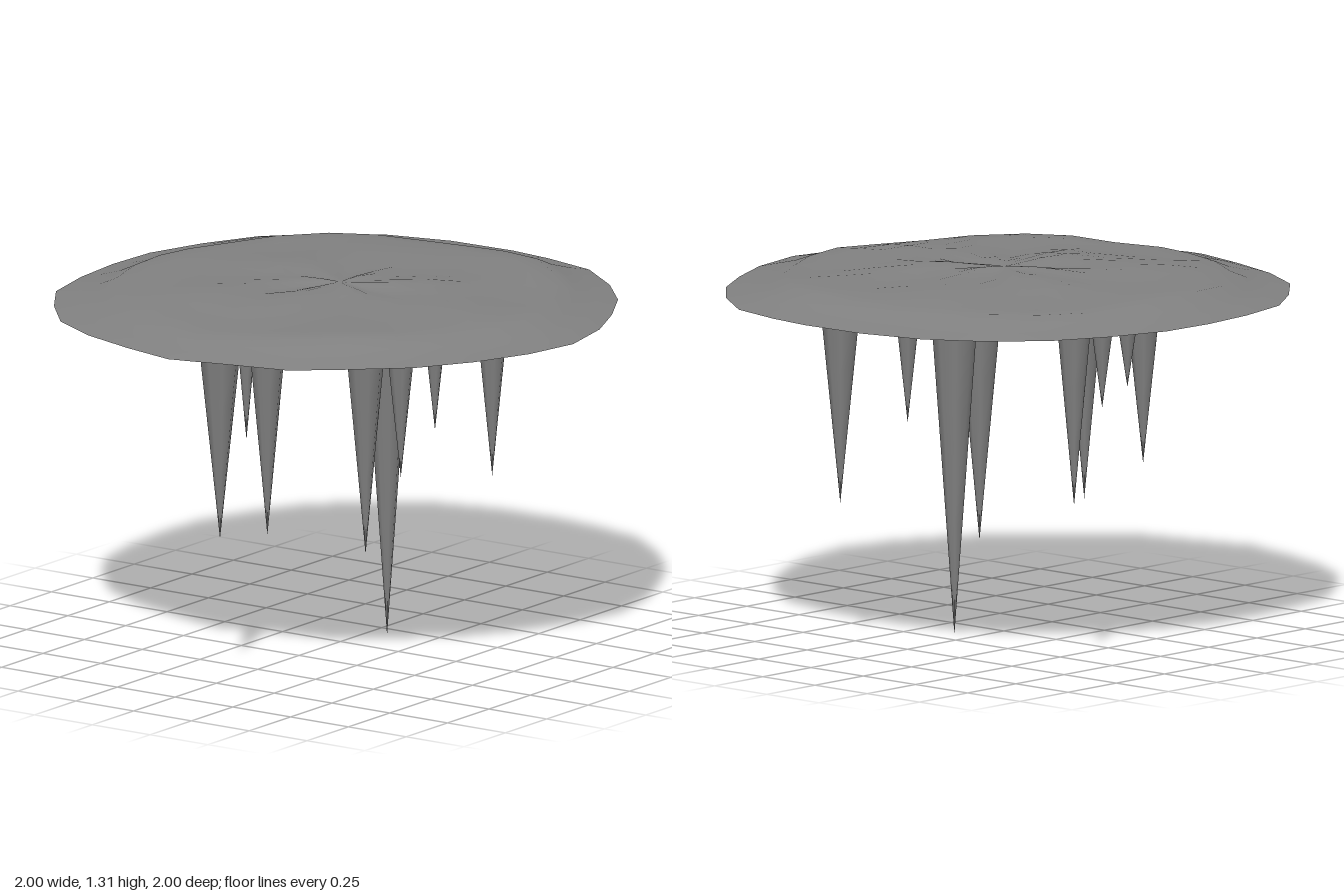
import * as THREE from 'three';
import { mergeVertices } from 'three/addons/utils/BufferGeometryUtils.js';

// Irregular outline of the sheet as x, z pairs, clockwise seen from above
const RIM = [
  [-1, -0.03], [-0.95, -0.24], [-0.88, -0.46], [-0.77, -0.66], [-0.6, -0.81], [-0.42, -0.93],
  [-0.2, -0.98], [0.02, -1], [0.23, -0.99], [0.45, -0.92], [0.65, -0.82], [0.82, -0.65],
  [0.93, -0.47], [0.99, -0.23], [1, 0.03], [0.98, 0.2], [0.93, 0.41], [0.79, 0.6],
  [0.63, 0.75], [0.44, 0.86], [0.24, 0.95], [0.01, 1], [-0.2, 0.96], [-0.41, 0.87],
  [-0.6, 0.75], [-0.76, 0.57], [-0.89, 0.41], [-0.94, 0.2],
];

// Sheet surface: rings shrink from the rim to the centre, each [scale, height]
function sheet(rings, ripple, faceUp) {
  const pos = [], index = [], n = RIM.length;
  for (const [k, y] of rings) {
    for (const [x, z] of RIM) {
      pos.push(x * k, y + ripple(k, Math.atan2(z, x)), z * k);
    }
  }
  for (let i = 0; i < rings.length - 1; i++) {
    for (let j = 0; j < n; j++) {
      const a = i * n + j, b = i * n + (j + 1) % n, c = a + n, d = b + n;
      if (faceUp) index.push(a, c, b, b, c, d);
      else index.push(a, b, c, b, d, c);
    }
  }
  let geo = new THREE.BufferGeometry();
  geo.setAttribute('position', new THREE.Float32BufferAttribute(pos, 3));
  geo.setIndex(index);
  geo = mergeVertices(geo, 1e-4);
  geo.computeVertexNormals();
  return geo;
}

// Icicles: x, z, radius, top height, tip height
const ICICLES = [
  [0.17, 0.08, 0.087, 1.21, 0],
  [0.04, 0.08, 0.082, 1.2, 0.32],
  [-0.33, -0.08, 0.075, 1.24, 0.44],
  [-0.7, -0.02, 0.078, 1.24, 0.51],
  [0.61, 0.22, 0.073, 1.24, 0.51],
  [0.34, -0.65, 0.062, 1.24, 0.57],
  [-0.32, 0.49, 0.055, 1.24, 0.73],
  [0.25, 0.23, 0.053, 1.23, 0.75],
  [0.27, -0.72, 0.043, 1.24, 0.92],
  [0.15, -0.73, 0.04, 1.24, 0.98],
];

export function createModel() {
  const group = new THREE.Group();
  const material = new THREE.MeshStandardMaterial({ color: 0x808080 });
  const add = (name, geo) => {
    const mesh = new THREE.Mesh(geo, material);
    mesh.name = name;
    group.add(mesh);
    return mesh;
  };

  // Rippled top with a step near the rim and spiral folds running to the centre
  const folds = (k, a) => {
    const fade = Math.min(1, k * 8) * Math.min(1, (1 - k) * 5);
    return fade * (0.006 * Math.sin(6 * a + 7 * k) + 0.005 * Math.sin(3 * a - 9 * k + 1));
  };
  add('sheetTop', sheet([
    [1, 1.22], [0.93, 1.234], [0.85, 1.252], [0.79, 1.276], [0.7, 1.281], [0.58, 1.286],
    [0.45, 1.293], [0.32, 1.298], [0.2, 1.301], [0.1, 1.303], [0.05, 1.304], [0, 1.304],
  ], folds, true));

  // Hollow underside, sagging to a point in the middle
  add('sheetUnderside', sheet([
    [1, 1.22], [0.9, 1.227], [0.8, 1.236], [0.6, 1.238], [0.42, 1.23], [0.28, 1.212],
    [0.15, 1.19], [0.05, 1.172], [0, 1.168],
  ], () => 0, false));

  // Hanging icicles
  for (const [x, z, radius, top, tip] of ICICLES) {
    const geo = new THREE.ConeGeometry(radius, top - tip, 8, 3);
    geo.rotateX(Math.PI);
    add('icicle', geo).position.set(x, (top + tip) / 2, z);
  }
  return group;
}
